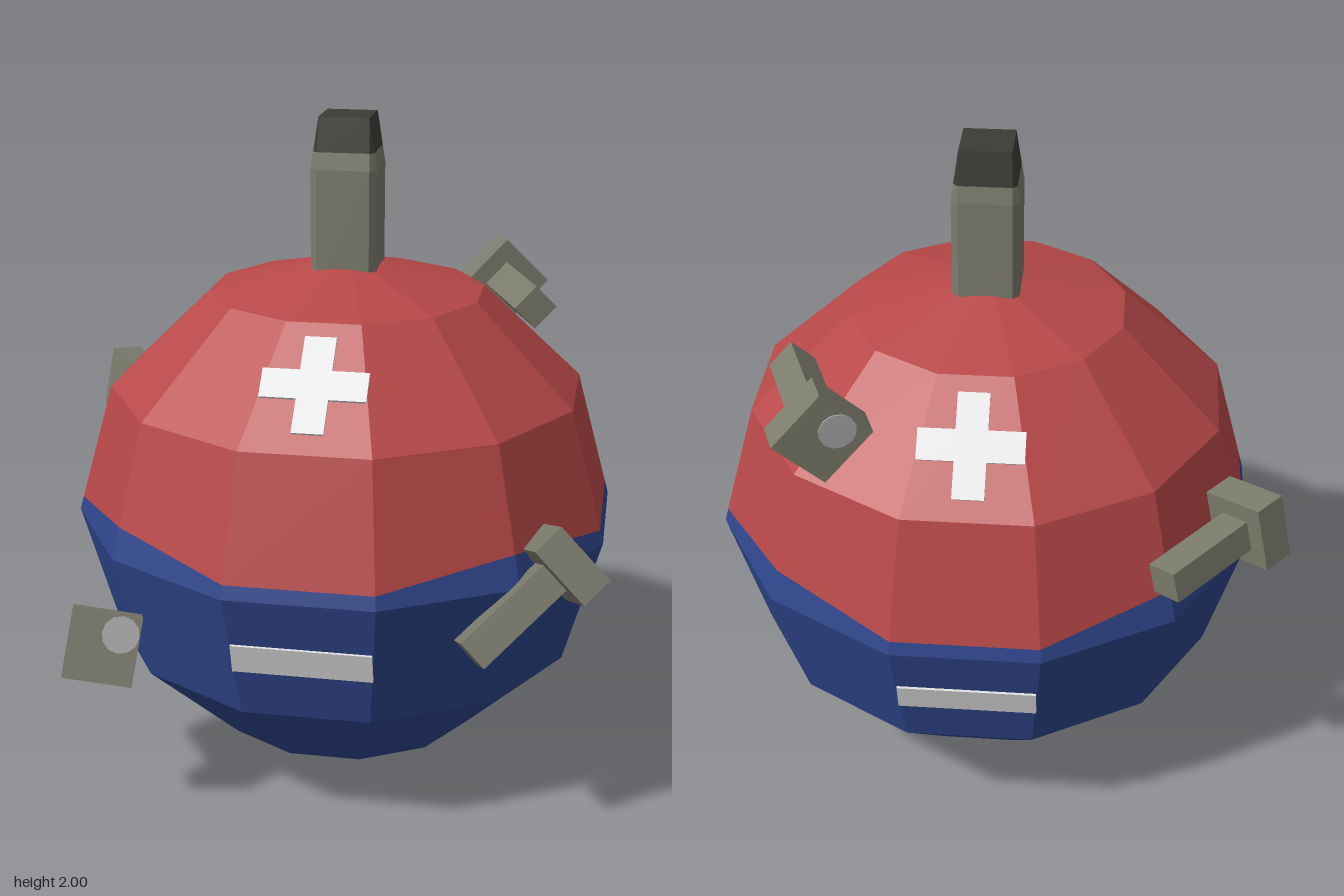
import * as THREE from 'three';

const mat = (name, color) => Object.assign(new THREE.MeshStandardMaterial({ color }), { name });

// Flat-faceted skin over closed cross-sections, listed from bottom to top
function loft(sections) {
  const pos = [];
  for (let i = 0; i < sections.length - 1; i++) {
    const lo = sections[i], hi = sections[i + 1], n = lo.length;
    for (let k = 0; k < n; k++) {
      const j = (k + 1) % n;
      pos.push(...lo[k], ...lo[j], ...hi[j], ...lo[k], ...hi[j], ...hi[k]);
    }
  }
  const g = new THREE.BufferGeometry();
  g.setAttribute('position', new THREE.Float32BufferAttribute(pos, 3));
  g.computeVertexNormals();
  return g;
}

export function createModel() {
  const red = mat('red paint', 0xb84848);
  const blue = mat('blue paint', 0x2f468c);
  const metal = mat('olive grey metal', 0x7c7c6d);
  const dark = mat('dark metal', 0x3c3c37);
  const white = mat('white marking', 0xdcdcdc);
  const grey = mat('grey patch', 0xababab);

  const model = new THREE.Group();
  const add = (parent, name, geometry, material) => {
    const m = new THREE.Mesh(geometry, material);
    m.name = name;
    parent.add(m);
    return m;
  };
  const CX = 0.045, CY = 0.795, RY = 0.79, R = 0.828;

  // Ball: twelve-sided rings, faces square to the axes
  const ring = (f) => Array.from({ length: 12 }, (_, k) => {
    const a = Math.PI / 12 + k * Math.PI / 6, [r, y] = f(k);
    return [r * Math.sin(a), y, r * Math.cos(a)];
  });
  const lat = (deg) => {
    const a = deg * Math.PI / 180;
    return ring(() => [R * Math.cos(a), CY + RY * Math.sin(a)]);
  };
  // Paint line just over the equator, rising at every third corner
  const paintLine = ring((k) => {
    const y = k % 3 === 1 ? 0.89 : 0.835;
    return [R - 0.111 * (y - CY) / 0.395, y];
  });
  const ball = new THREE.Group();
  ball.name = 'ball';
  ball.position.x = CX;
  model.add(ball);
  add(ball, 'lowerShell', loft([lat(-90), lat(-60), lat(-30), lat(0), paintLine]), blue);
  add(ball, 'upperShell', loft([paintLine, lat(30), lat(60), lat(90)]), red);

  // Post on top: bevelled square bar with a tapered dark tip
  const square = (h, c, y) => {
    const e = h - c;
    return [[-e, h], [e, h], [h, e], [h, -e], [e, -h], [-e, -h], [-h, -e], [-h, e]]
      .map(([x, z]) => [x, y, z]);
  };
  const post = new THREE.Group();
  post.name = 'post';
  post.position.x = CX;
  model.add(post);
  add(post, 'postShaft', loft([square(0.098, 0.02, 1.5), square(0.098, 0.02, 1.85), square(0.09, 0.013, 1.9)]), metal);
  add(post, 'postTip', loft([square(0.09, 0.013, 1.9), square(0.075, 0.001, 2), square(0, 0, 2)]), dark);

  // Plus and minus plates, front and back
  for (const side of [0, 1]) {
    const marks = new THREE.Group();
    marks.name = side ? 'backMarkings' : 'frontMarkings';
    marks.position.x = CX;
    marks.rotation.y = side * Math.PI;
    model.add(marks);

    const plus = new THREE.Group();
    plus.name = 'plusSign';
    plus.position.set(0, 1.342, 0.545);
    plus.rotation.x = -Math.PI / 4;
    marks.add(plus);
    add(plus, 'plusAcross', new THREE.BoxGeometry(0.3, 0.09, 0.009), white);
    add(plus, 'plusUpright', new THREE.BoxGeometry(0.09, 0.3, 0.009), white);

    const minus = add(marks, 'minusSign', new THREE.BoxGeometry(0.4, 0.093, 0.009), white);
    minus.position.set(0, 0.598, 0.749);
    minus.rotation.x = Math.PI / 12;
  }

  // Bolts: square shaft from tail to head, square head plate, patch on its outer face
  const bolts = [
    { name: 'frontLeftBolt', tail: [0.505, 0.645, 0.708], head: [0.745, 0.865, 0.55], side: [0.7, -0.7, 0.04], patch: [0.034, 0.045] },
    { name: 'frontRightBolt', tail: [-0.66, 0.46, 0.36], head: [-0.55, 0.57, 0.685], side: [0.93, -0.2, -0.25], patch: [0.045, 0.045] },
    { name: 'backLeftBolt', tail: [0.595, 1.385, -0.22], head: [0.46, 1.385, -0.565], side: [0.657, 0.707, -0.258], patch: [-0.015, -0.045] },
    { name: 'backRightBolt', tail: [-0.5, 0.97, -0.635], head: [-0.74, 1.005, -0.38], side: [0.2, 0.97, 0.06], patch: [-0.045, -0.04] },
  ];
  for (const b of bolts) {
    const tail = new THREE.Vector3(...b.tail), head = new THREE.Vector3(...b.head);
    const length = head.distanceTo(tail);
    const axis = head.clone().sub(tail).normalize();
    const v = axis.clone().cross(new THREE.Vector3(...b.side)).normalize();
    const u = v.clone().cross(axis);
    const bolt = new THREE.Group();
    bolt.name = b.name;
    bolt.position.copy(head);
    bolt.quaternion.setFromRotationMatrix(new THREE.Matrix4().makeBasis(u, v, axis));
    model.add(bolt);
    add(bolt, 'boltShaft', new THREE.BoxGeometry(0.095, 0.095, length), metal).position.z = -length / 2;
    add(bolt, 'boltHead', new THREE.BoxGeometry(0.2, 0.2, 0.1), metal);
    const patch = add(bolt, 'boltPatch', new THREE.CylinderGeometry(0.054, 0.054, 0.006, 12), grey);
    patch.rotation.x = Math.PI / 2;
    patch.position.set(b.patch[0], b.patch[1], 0.051);
  }
  return model;
}
